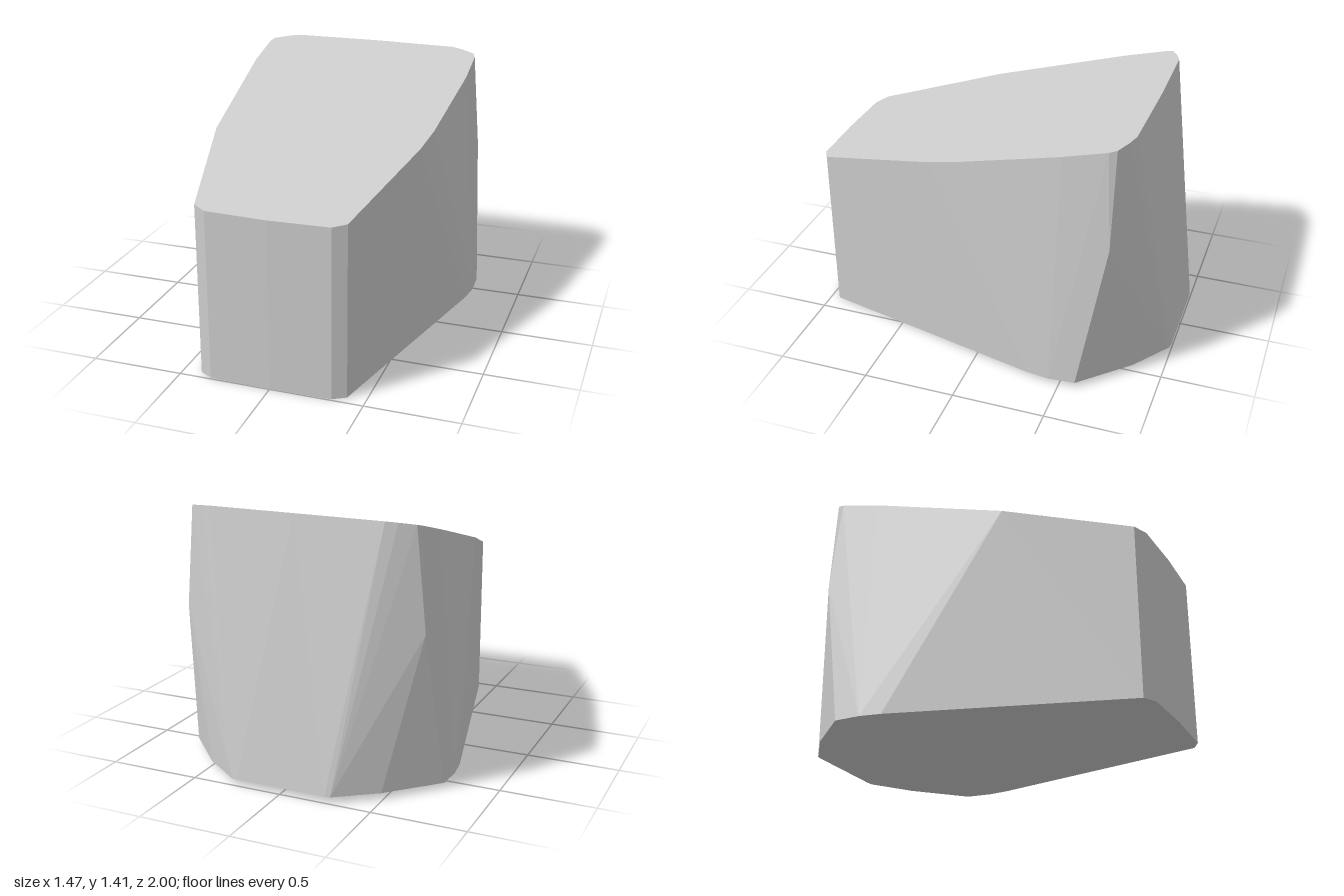
import * as THREE from 'three';
import { ConvexGeometry } from 'three/addons/geometries/ConvexGeometry.js';

// The base and the sloping top are flat planes that rise towards the back
const baseY = (z) => 0.0175 * (1 - z);
const topY = (z) => 0.93 + 0.265 * (1 - z);

// Half outlines as [x, z], front to back
const baseOutline = [
  [0.33, 0.99], [0.4, 0.95], [0.72, -0.32], [0.737, -0.44],
  [0.73, -0.585], [0.49, -0.84], [0.28, -0.995], [0.25, -1],
];
const topOutline = [
  [0.33, 0.99], [0.4, 0.95], [0.572, 0.28], [0.638, -0.46],
  [0.635, -0.69], [0.62, -0.73], [0.54, -0.77], [0.48, -0.79],
];

export function createModel() {
  const group = new THREE.Group();
  group.name = 'taperedBlock';
  const grey = new THREE.MeshStandardMaterial({ color: 0xcccccc });
  grey.name = 'light grey';

  const points = [
    new THREE.Vector3(0, baseY(1), 1),
    new THREE.Vector3(0, topY(1), 1),
    new THREE.Vector3(0, topY(-0.797), -0.797),
    new THREE.Vector3(0.6, topY(0.1), 0.1), // extra bend on one side of the top
  ];
  for (const s of [-1, 1]) {
    for (const [x, z] of baseOutline) points.push(new THREE.Vector3(s * x, baseY(z), z));
    for (const [x, z] of topOutline) points.push(new THREE.Vector3(s * x, topY(z), z));
    // corner where the side facet ends part way up the rear edge
    points.push(new THREE.Vector3(s * 0.67, 0.85, -0.725));
  }

  // Faceted solid spanning both outlines
  const body = new THREE.Mesh(new ConvexGeometry(points), grey);
  body.name = 'body';
  group.add(body);
  return group;
}
